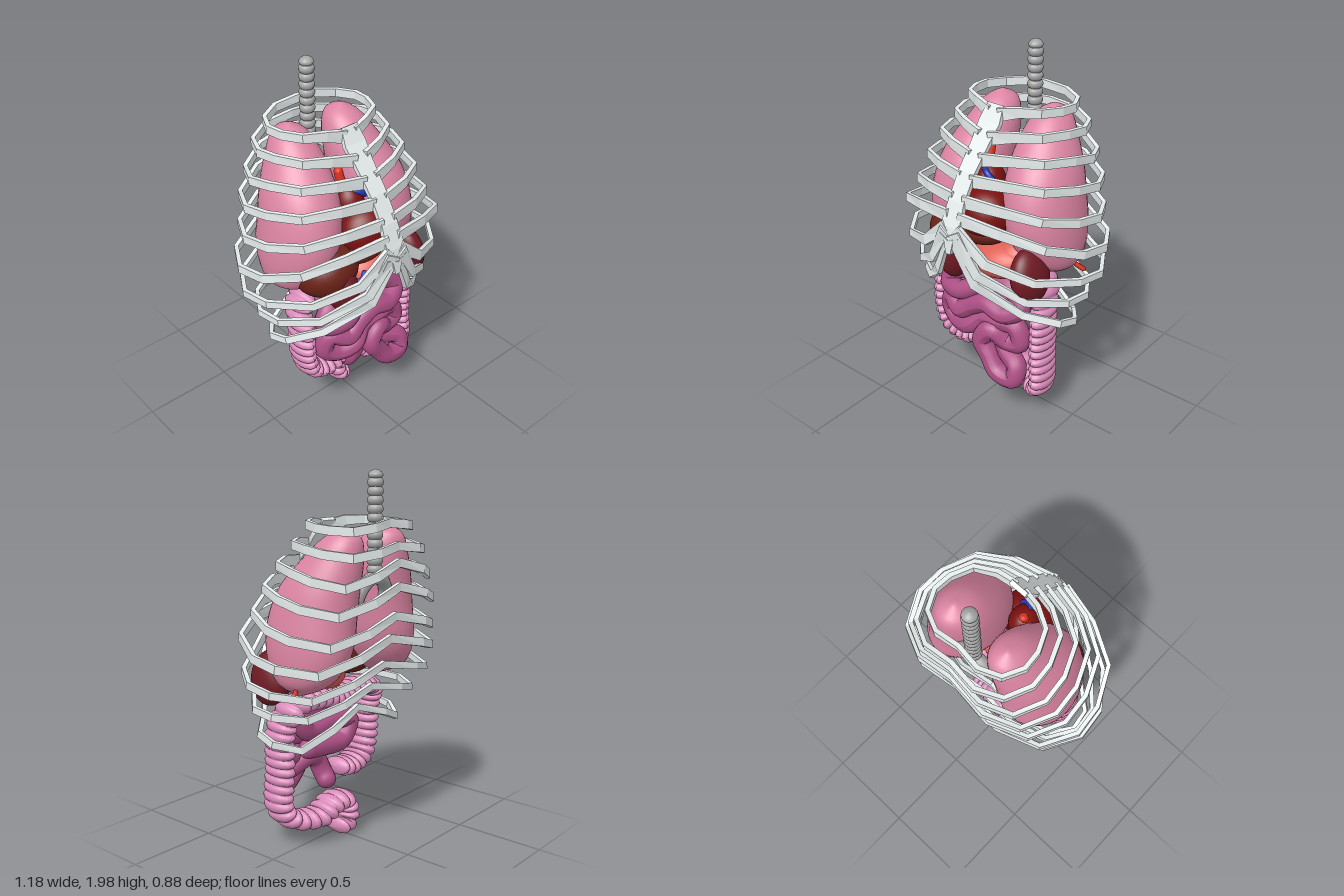
import * as THREE from 'three';
import { mergeVertices } from 'three/addons/utils/BufferGeometryUtils.js';

const V = (p) => new THREE.Vector3(...p);
const material = (color, extra = {}) => new THREE.MeshStandardMaterial({ color, ...extra });
const bone = material(0xe6ecec, { flatShading: true });
const cartilage = material(0xa4a4a4);
const lungPink = material(0xdc85a2);
const heartRed = material(0x7c1010);
const liverBrown = material(0x6b2218);
const maroon = material(0x701a24);
const stomachRed = material(0xdf5f54);
const colonPink = material(0xd98ab9);
const bowelPurple = material(0xae5086);
const arteryRed = material(0xd8301c);
const veinBlue = material(0x2038b8);

function add(group, name, geometry, mat) {
  const mesh = new THREE.Mesh(geometry, mat);
  mesh.name = name;
  group.add(mesh);
  return mesh;
}

function blob(group, name, mat, centre, radii, tilt = 0) {
  const mesh = add(group, name, new THREE.SphereGeometry(1, 32, 20), mat);
  mesh.position.set(...centre);
  mesh.scale.set(...radii);
  mesh.rotation.z = tilt;
}

// Tube with rounded ends; beads > 0 pinches it into that many segments
function tube(points, radius, steps, beads = 0, depth = 0.35) {
  const curve = new THREE.CatmullRomCurve3(points.map(V));
  const radial = 14;
  const geo = new THREE.TubeGeometry(curve, steps, radius, radial);
  const pos = geo.attributes.position;
  const length = curve.getLength();
  const v = new THREE.Vector3();
  for (let i = 0; i <= steps; i++) {
    const u = i / steps;
    const c = curve.getPointAt(u);
    const e = Math.min(1, Math.min(u, 1 - u) * length / radius);
    let k = Math.sqrt(Math.max(0, 1 - (1 - e) ** 2));
    if (beads) k *= 1 - depth + depth * Math.sqrt(Math.abs(Math.sin(Math.PI * u * beads)));
    for (let j = 0; j <= radial; j++) {
      const n = i * (radial + 1) + j;
      v.fromBufferAttribute(pos, n).sub(c).multiplyScalar(k).add(c);
      pos.setXYZ(n, v.x, v.y, v.z);
    }
  }
  geo.computeVertexNormals();
  return geo;
}

// Flat strap of rectangular section, facing away from the line x = 0, z = axisZ
function strap(points, widths, thickness, axisZ) {
  const verts = [], index = [];
  points.forEach((p, i) => {
    const t = points[Math.min(i + 1, points.length - 1)].clone()
      .sub(points[Math.max(i - 1, 0)]).normalize();
    const out = new THREE.Vector3(p.x, 0, p.z - axisZ);
    out.addScaledVector(t, -out.dot(t)).normalize();
    const side = t.clone().cross(out);
    const w = widths[i] / 2, h = thickness / 2;
    for (const [a, b] of [[h, w], [-h, w], [-h, -w], [h, -w]]) {
      const q = p.clone().addScaledVector(out, a).addScaledVector(side, b);
      verts.push(q.x, q.y, q.z);
    }
    if (i === 0) return;
    for (let j = 0; j < 4; j++) {
      const a = (i - 1) * 4 + j, b = (i - 1) * 4 + (j + 1) % 4;
      index.push(a, b, b + 4, a, b + 4, a + 4);
    }
  });
  const e = (points.length - 1) * 4;
  index.push(0, 2, 1, 0, 3, 2, e, e + 1, e + 2, e, e + 2, e + 3);
  const geo = new THREE.BufferGeometry();
  geo.setAttribute('position', new THREE.Float32BufferAttribute(verts, 3));
  geo.setIndex(index);
  geo.computeVertexNormals();
  return geo;
}

// One rib pair as a loop from the left front, round the back, to the right front
function ribLoop([w, yF, zF, yS, yR, yB, zB], front) {
  const L = zF - zB;
  const start = front || [
    [0.03, yF, zF],
    [0.45 * w, yF + (yS - yF) * 0.3 + 0.02, zF - 0.06 * L],
    [0.8 * w, yF + (yS - yF) * 0.65 + 0.015, zF - 0.19 * L],
  ];
  const zS = start[2][2];
  const half = [
    ...start,
    [0.97 * w, yS, zS + (zB - zS) * 0.3],
    [w, (yS + yR) / 2, zS + (zB - zS) * 0.57],
    [0.82 * w, yR, zS + (zB - zS) * 0.86],
    [0.45 * w, yR + (yB - yR) * 0.5, zB],
  ];
  const mirrored = half.map(([x, y, z]) => [-x, y, z]).reverse();
  const points = [...half, [0, yB, zB + 0.015], ...mirrored].map(V);
  const far = front ? 0.038 : 0.045;
  const widths = points.map((_, i) => Math.max(far, 0.068 - 0.014 * Math.min(i, points.length - 1 - i)));
  return strap(points, widths, 0.024, (zF + zB) / 2);
}

// Lung: a sphere whose rings follow rows of [y, centre x, centre z, radius x, radius z]
function lung(side) {
  const rows = [
    [1.72, 0.17, -0.2, 0, 0], [1.67, 0.17, -0.19, 0.085, 0.1],
    [1.56, 0.185, -0.14, 0.14, 0.165], [1.42, 0.215, -0.08, 0.18, 0.22],
    [1.28, 0.235, -0.05, 0.195, 0.245], [1.14, 0.255, -0.045, 0.195, 0.25],
    [1.02, 0.28, -0.05, 0.17, 0.215], [0.93, 0.31, -0.05, 0.115, 0.14],
    [0.87, 0.335, -0.05, 0, 0],
  ];
  const last = rows.length - 1;
  const curves = rows[0].map((_, c) =>
    new THREE.SplineCurve(rows.map((r, n) => new THREE.Vector2(n, r[c]))));
  const geo = new THREE.SphereGeometry(1, 32, 32);
  const pos = geo.attributes.position;
  for (let i = 0; i < pos.count; i++) {
    const x = pos.getX(i), z = pos.getZ(i);
    const t = Math.acos(THREE.MathUtils.clamp(pos.getY(i), -1, 1)) / Math.PI;
    const [y, cx, cz, rx, rz] = t > 0.9999 ? rows[last] : curves.map((c) => c.getPoint(t).y);
    const d = Math.hypot(x, z) || 1;
    pos.setXYZ(i, side * cx + x / d * rx, y, cz + z / d * rz);
  }
  geo.deleteAttribute('uv');
  geo.deleteAttribute('normal');
  const smooth = mergeVertices(geo, 1e-5);
  smooth.computeVertexNormals();
  return smooth;
}

export function createModel() {
  const model = new THREE.Group();
  model.name = 'torsoOrgans';

  // Rib cage: width, front y, front z, side y, rear y, back centre y, back z
  const cage = new THREE.Group();
  cage.name = 'ribCage';
  model.add(cage);
  const ribs = [
    [0.285, 1.70, 0.07, 1.72, 1.71, 1.74, -0.36],
    [0.345, 1.60, 0.15, 1.62, 1.59, 1.63, -0.415],
    [0.415, 1.51, 0.22, 1.51, 1.45, 1.55, -0.425],
    [0.47, 1.42, 0.29, 1.38, 1.32, 1.43, -0.43],
    [0.51, 1.33, 0.35, 1.23, 1.17, 1.28, -0.41],
    [0.575, 1.25, 0.39, 1.09, 1.04, 1.16, -0.38],
    [0.58, 1.18, 0.41, 0.95, 0.91, 1.02, -0.34],
    [0.525, 1.16, 0.42, 0.81, 0.79, 0.89, -0.26],
    [0.485, 1.13, 0.42, 0.67, 0.61, 0.76, -0.17],
  ];
  // Lower ribs reach the breastbone through long descending cartilages
  const lowerFronts = {
    6: [[0.03, 1.2, 0.41], [0.2, 1.05, 0.385], [0.42, 0.97, 0.27]],
    7: [[0.03, 1.18, 0.42], [0.15, 0.97, 0.39], [0.36, 0.83, 0.26]],
    8: [[0.03, 1.15, 0.42], [0.125, 0.9, 0.38], [0.32, 0.72, 0.23]],
  };
  ribs.forEach((r, i) => add(cage, 'ribPair' + (i + 1), ribLoop(r, lowerFronts[i]), bone));
  const sternumPath = [[1.74, 0.05], [1.66, 0.1], [1.58, 0.165], [1.45, 0.275], [1.32, 0.355],
    [1.2, 0.405], [1.13, 0.42], [1.06, 0.425]].map(([y, z]) => V([0, y, z]));
  add(cage, 'breastbone',
    strap(sternumPath, [0.1, 0.13, 0.11, 0.1, 0.1, 0.12, 0.06, 0.03], 0.026, -1), bone);

  // Windpipe and bronchi
  add(model, 'windpipe', tube([[0, 2, -0.26], [0, 1.7, -0.26], [0, 1.44, -0.26]], 0.042, 180, 13), cartilage);
  for (const s of [1, -1]) {
    add(model, s > 0 ? 'leftBronchus' : 'rightBronchus',
      tube([[0, 1.46, -0.26], [s * 0.05, 1.45, -0.26], [s * 0.1, 1.4, -0.25], [s * 0.12, 1.32, -0.23]],
        0.036, 30), cartilage);
    add(model, s > 0 ? 'leftLung' : 'rightLung', lung(s), lungPink);
  }

  // Heart with its great vessels
  blob(model, 'heart', heartRed, [0.02, 1.19, 0.16], [0.15, 0.14, 0.13], 0.4);
  blob(model, 'heartUpperChamber', heartRed, [-0.02, 1.32, 0.08], [0.08, 0.11, 0.09]);
  add(model, 'aorta', tube([[-0.02, 1.36, 0.08], [-0.045, 1.45, 0.05], [-0.05, 1.52, 0.03]], 0.024, 24), arteryRed);
  add(model, 'venaCava', tube([[-0.03, 1.41, 0.11], [0.01, 1.4, 0.14], [0.05, 1.36, 0.13]], 0.016, 24), veinBlue);

  // Upper abdomen
  blob(model, 'liver', liverBrown, [-0.2, 1.02, 0.1], [0.18, 0.15, 0.18], 0.3);
  blob(model, 'liverLeftLobe', liverBrown, [0, 1.09, 0.15], [0.15, 0.08, 0.12], 0.1);
  blob(model, 'liverLowerLobe', maroon, [-0.17, 0.92, 0.2], [0.08, 0.155, 0.11], 0.1);
  blob(model, 'spleen', maroon, [0.315, 0.93, 0.17], [0.08, 0.15, 0.13], 0.2);
  blob(model, 'stomach', stomachRed, [0.09, 0.93, 0.09], [0.2, 0.11, 0.17], 0.15);
  blob(model, 'stomachTop', stomachRed, [0.17, 0.98, 0.06], [0.13, 0.09, 0.14]);
  add(model, 'spleenArtery', tube([[0.22, 0.98, 0], [0.36, 0.95, -0.06], [0.46, 0.88, -0.12]], 0.013, 24), arteryRed);
  add(model, 'portalVein', tube([[-0.13, 0.95, 0.24], [-0.09, 0.97, 0.27], [-0.05, 1, 0.25]], 0.015, 24), veinBlue);

  // Large intestine: beaded and deeper than it is wide
  const depth = 1.75;
  const colonPath = [[-0.08, 0.35, 0.08], [-0.2, 0.33, 0.08], [-0.3, 0.37, 0.08], [-0.34, 0.48, 0.08],
    [-0.34, 0.66, 0.07], [-0.31, 0.78, 0.02], [-0.18, 0.82, -0.01], [0, 0.8, -0.01], [0.18, 0.82, -0.01],
    [0.3, 0.8, 0.02], [0.34, 0.68, 0.08], [0.345, 0.45, 0.09], [0.345, 0.22, 0.09], [0.29, 0.16, 0.05],
    [0.18, 0.16, -0.02], [0.09, 0.21, -0.04], [0, 0.21, -0.04], [-0.03, 0.14, -0.04],
    [-0.01, 0.08, -0.04], [0.06, 0.055, -0.04]];
  const colon = add(model, 'largeIntestine',
    tube(colonPath.map(([x, y, z]) => [x, y, z / depth]), 0.057, 560, 52, 0.3), colonPink);
  colon.scale.z = depth;

  // Small intestine: one long winding tube, rear coils first
  const bowelPath = [[0.2, 0.52, 0.07], [0.05, 0.5, 0.07], [-0.14, 0.5, 0.07], [-0.2, 0.6, 0.07],
    [-0.05, 0.62, 0.08], [0.16, 0.62, 0.07], [0.2, 0.72, 0.07], [0.06, 0.73, 0.07],
    [-0.08, 0.76, 0.1], [-0.2, 0.76, 0.14], [-0.25, 0.68, 0.16], [-0.14, 0.68, 0.2],
    [-0.03, 0.74, 0.17], [0.05, 0.78, 0.14], [0.18, 0.78, 0.14], [0.25, 0.7, 0.16], [0.17, 0.65, 0.2],
    [0.05, 0.67, 0.2], [-0.05, 0.62, 0.2], [-0.13, 0.57, 0.21], [-0.22, 0.6, 0.17], [-0.25, 0.51, 0.15],
    [-0.18, 0.46, 0.17], [-0.08, 0.48, 0.2], [0, 0.55, 0.17], [0.11, 0.57, 0.17], [0.22, 0.57, 0.16],
    [0.25, 0.48, 0.16], [0.17, 0.46, 0.17], [0.09, 0.52, 0.21], [0.03, 0.44, 0.22], [0.08, 0.36, 0.22],
    [0.15, 0.28, 0.23], [0.25, 0.275, 0.22], [0.255, 0.35, 0.2], [0.17, 0.39, 0.17], [0.08, 0.44, 0.13],
    [0, 0.4, 0.14], [-0.03, 0.32, 0.12], [-0.03, 0.24, 0.06]].map(V).map((p) => p.toArray());
  add(model, 'smallIntestine', tube(bowelPath, 0.055, 440), bowelPurple);

  return model;
}
